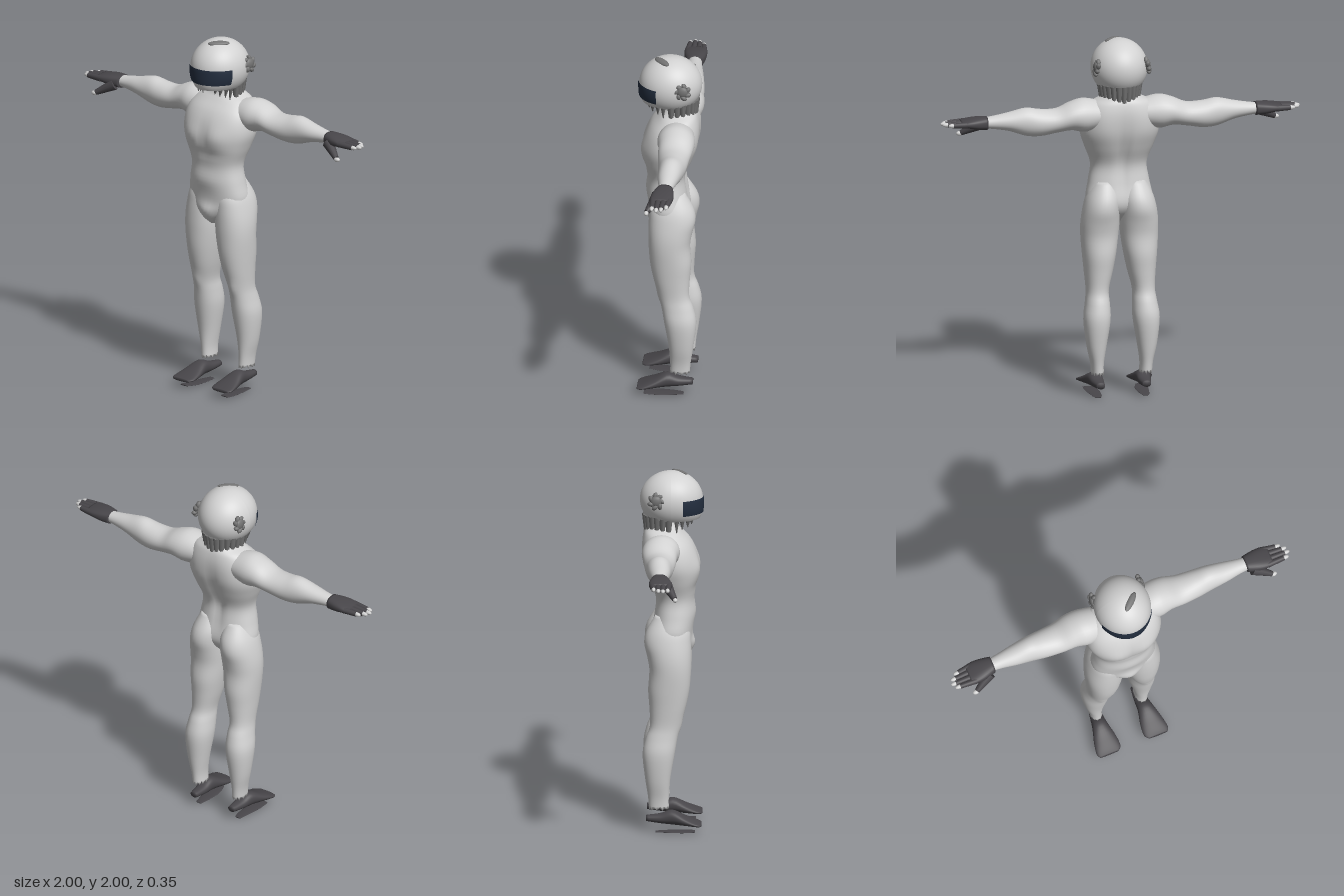
import * as THREE from 'three';

const mat = (name, color) => Object.assign(new THREE.MeshStandardMaterial({ color }), { name });

// Smooth interpolation through rows of numbers
function spline(rows, steps) {
  const out = [], last = rows.length - 1;
  for (let i = 0; i < last; i++) {
    const [p, q, r, s] = [i - 1, i, i + 1, i + 2].map(k => rows[Math.min(last, Math.max(0, k))]);
    for (let j = 0; j < steps; j++) {
      const t = j / steps;
      out.push(q.map((b, c) => b + 0.5 * t * (r[c] - p[c] + t * (2 * p[c] - 5 * b + 4 * r[c] - s[c] + t * (3 * (b - r[c]) + s[c] - p[c])))));
    }
  }
  out.push(rows[last]);
  return out;
}

// Closed tube of super-ellipse sections along an axis: [t, aMin, aMax, bMin, bMax]
function loft(axis, rows, { power = 2, steps = 4, sides = 32, rule } = {}) {
  const place = { x: (t, a, b) => [t, a, b], y: (t, a, b) => [a, t, b], z: (t, a, b) => [a, b, t] }[axis];
  const rings = spline(rows, steps), pos = [], index = [];
  const sp = v => Math.sign(v) * Math.abs(v) ** (2 / power);
  const tri = (a, b, c) => (axis === 'y' ? index.push(a, b, c) : index.push(a, c, b));
  rings.forEach(([t, a0, a1, b0, b1], i) => {
    for (let k = 0; k < sides; k++) {
      const th = (k / sides) * Math.PI * 2;
      const p = place(t, (a0 + a1) / 2 + ((a1 - a0) / 2) * sp(Math.cos(th)), (b0 + b1) / 2 + ((b1 - b0) / 2) * sp(Math.sin(th)));
      const v = new THREE.Vector3(...p);
      if (rule) rule(v, i, k);
      pos.push(v.x, v.y, v.z);
      if (i) {
        const a = (i - 1) * sides + k, b = (i - 1) * sides + (k + 1) % sides;
        tri(a, a + sides, b);
        tri(b, a + sides, b + sides);
      }
    }
  });
  // end caps
  const n = rings.length;
  [0, n - 1].forEach((r, e) => {
    const [t, a0, a1, b0, b1] = rings[r], c = n * sides + e;
    pos.push(...place(t, (a0 + a1) / 2, (b0 + b1) / 2));
    for (let k = 0; k < sides; k++) {
      const a = r * sides + k, b = r * sides + (k + 1) % sides;
      e ? tri(c, b, a) : tri(c, a, b);
    }
  });
  const g = new THREE.BufferGeometry();
  g.setAttribute('position', new THREE.Float32BufferAttribute(pos, 3));
  g.setIndex(index);
  g.computeVertexNormals();
  return g;
}

// Soft muscle forms: [x, y, z, rx, ry, rz, push in z]
const sculpt = bumps => v => {
  let dz = 0;
  for (const [x, y, z, rx, ry, rz, push] of bumps)
    dz += push * Math.exp(-(((v.x - x) / rx) ** 2) - ((v.y - y) / ry) ** 2 - ((v.z - z) / rz) ** 2);
  v.z += dz;
};

function mirrored(g) {
  const m = g.clone().scale(-1, 1, 1), ix = m.index;
  for (let i = 0; i < ix.count; i += 3) {
    const b = ix.getX(i + 1);
    ix.setX(i + 1, ix.getX(i + 2));
    ix.setX(i + 2, b);
  }
  return m;
}

// Tapered rod between two points
function rod(from, to, r0, r1, sides = 12) {
  const a = new THREE.Vector3(...from), d = new THREE.Vector3(...to).sub(a), len = d.length();
  const g = new THREE.CylinderGeometry(r1, r0, len, sides).translate(0, len / 2, 0);
  g.applyQuaternion(new THREE.Quaternion().setFromUnitVectors(new THREE.Vector3(0, 1, 0), d.normalize()));
  return g.translate(a.x, a.y, a.z);
}

export function createModel() {
  const body = mat('pale grey', 0xd2d2d2), glove = mat('charcoal', 0x48464a);
  const hair = mat('mid grey', 0x747474), dark = mat('navy glass', 0x242f40);
  const model = new THREE.Group();
  const add = (name, g, m) => {
    const mesh = new THREE.Mesh(g, m);
    mesh.name = name;
    model.add(mesh);
    return mesh;
  };
  const pair = (name, g, m) => {
    add('left ' + name, g, m);
    add('right ' + name, mirrored(g), m);
  };

  // Torso and neck
  const torso = [
    [0.955, 0.015, 0, 0.07], [0.99, 0.06, -0.04, 0.105], [1.04, 0.13, -0.09, 0.117], [1.1, 0.182, -0.11, 0.115],
    [1.2, 0.168, -0.095, 0.125], [1.3, 0.155, -0.088, 0.125], [1.4, 0.19, -0.125, 0.145], [1.48, 0.215, -0.15, 0.147],
    [1.55, 0.215, -0.16, 0.135], [1.61, 0.2, -0.16, 0.105], [1.66, 0.16, -0.15, 0.06], [1.69, 0.1, -0.135, 0.035],
    [1.72, 0.07, -0.12, 0.03], [1.78, 0.065, -0.11, 0.03],
  ].map(([y, w, b, f]) => [y, -w, w, b, f]);
  add('torso', loft('y', torso, {
    power: 2.3, sides: 48, steps: 5,
    rule: sculpt([
      [0.09, 1.47, 0.15, 0.07, 0.06, 0.08, 0.014], [-0.09, 1.47, 0.15, 0.07, 0.06, 0.08, 0.014],
      [0, 1.47, 0.15, 0.025, 0.09, 0.08, -0.008], [0, 1.37, 0.15, 0.14, 0.025, 0.08, -0.006],
      [0, 1.22, 0.13, 0.09, 0.05, 0.08, 0.008], [0, 1.04, 0.12, 0.04, 0.04, 0.06, 0.012],
      [0, 1.35, -0.12, 0.03, 0.2, 0.08, 0.022],
      [0.12, 1.52, -0.15, 0.06, 0.1, 0.08, -0.008], [-0.12, 1.52, -0.15, 0.06, 0.1, 0.08, -0.008],
    ]),
  }), body);

  // Legs with ragged lower ends
  const legSculpt = sculpt([[0.1, 1.06, -0.13, 0.07, 0.07, 0.06, -0.006], [0.13, 0.6, 0.05, 0.03, 0.04, 0.05, 0.008]]);
  pair('leg', loft('y', [
    [0.14, 0.1, 0.168, -0.12, -0.012], [0.2, 0.1, 0.174, -0.125, -0.012], [0.3, 0.085, 0.195, -0.14, -0.004],
    [0.44, 0.063, 0.21, -0.155, 0.02], [0.53, 0.064, 0.198, -0.138, 0.035], [0.6, 0.066, 0.19, -0.115, 0.05],
    [0.7, 0.042, 0.197, -0.118, 0.08], [0.8, 0.022, 0.206, -0.125, 0.1], [0.9, 0.008, 0.213, -0.118, 0.108],
    [0.98, 0.002, 0.212, -0.128, 0.11], [1.06, 0.002, 0.2, -0.141, 0.108], [1.13, 0.004, 0.18, -0.13, 0.1],
    [1.21, 0.03, 0.14, -0.085, 0.06],
  ], {
    power: 2.15,
    rule: (v, i, k) => {
      legSculpt(v);
      if (i === 0) v.y += 0.012 * Math.sin(k * 2.4);
    },
  }), body);

  // Arms
  pair('arm', loft('x', [
    [0.08, 1.53, 1.655, -0.13, 0.03], [0.2, 1.5, 1.685, -0.155, 0.05], [0.28, 1.515, 1.67, -0.155, 0.037],
    [0.36, 1.505, 1.636, -0.142, 0.03], [0.45, 1.49, 1.638, -0.135, 0.02], [0.53, 1.495, 1.65, -0.125, 0.01],
    [0.62, 1.525, 1.63, -0.11, 0.003], [0.7, 1.54, 1.615, -0.095, -0.01], [0.77, 1.548, 1.605, -0.085, -0.016],
  ]), body);

  // Fingerless gloves with bare fingertips
  pair('glove palm', loft('x', [
    [0.745, 1.54, 1.612, -0.095, -0.005], [0.8, 1.545, 1.61, -0.105, 0.012],
    [0.85, 1.555, 1.603, -0.107, 0.018], [0.89, 1.562, 1.594, -0.1, 0.014],
  ], { power: 2.6 }), glove);
  [[-0.088, 0.955], [-0.058, 0.982], [-0.028, 0.99], [0.002, 0.975]].forEach(([z, end]) => {
    const z2 = z * 0.85 - 0.004;
    pair('gloved finger', rod([0.86, 1.578, z], [end - 0.02, 1.576, z2], 0.018, 0.014), glove);
    pair('fingertip', new THREE.SphereGeometry(0.012, 12, 8).scale(2.3, 1, 1).translate(end - 0.018, 1.576, z2), body);
  });
  pair('gloved thumb', rod([0.775, 1.56, -0.012], [0.87, 1.505, 0.034], 0.032, 0.015), glove);
  pair('thumb tip', new THREE.SphereGeometry(0.013, 12, 8).scale(1.5, 1, 1).translate(0.878, 1.501, 0.037), body);

  // Shoes and the separate thin soles
  pair('shoe', loft('z', [
    [-0.135, 0.105, 0.15, 0.062, 0.095], [-0.06, 0.095, 0.165, 0.052, 0.105], [0.005, 0.09, 0.178, 0.046, 0.126],
    [0.08, 0.073, 0.2, 0.042, 0.093], [0.14, 0.07, 0.21, 0.04, 0.067], [0.165, 0.09, 0.198, 0.042, 0.058],
  ], { power: 2.2 }), glove);
  pair('sole', loft('z', [
    [-0.085, 0.115, 0.15, 0, 0.006], [-0.04, 0.105, 0.16, 0.001, 0.008],
    [0.06, 0.1, 0.175, 0.002, 0.01], [0.13, 0.12, 0.175, 0.006, 0.013],
  ]), glove);

  // Helmet shell and visor, with a fuller chin
  const shell = (scale, ...arc) => {
    const g = new THREE.SphereGeometry(1, 48, 32, ...arc), p = g.attributes.position;
    for (let i = 0; i < p.count; i++) {
      const y = p.getY(i), z = p.getZ(i);
      if (y < 0 && z > 0) p.setZ(i, z * (1 + 0.43 * y * y));
    }
    g.scale(0.155 * scale, 0.157 * scale, 0.172 * scale).translate(0, 1.84, 0);
    g.computeVertexNormals();
    return g;
  };
  add('helmet', shell(1, 0, Math.PI * 2, 0, 2.27), body);
  add('helmet underside', new THREE.CircleGeometry(1, 40).rotateX(Math.PI / 2).scale(0.116, 1, 0.13).translate(0, 1.742, 0.005), body);
  add('visor', shell(1.03, 0.38, Math.PI - 0.76, 1.444, 0.55), dark);

  // Hair locks hanging below the helmet, thick behind and thin at the front
  for (let i = 0; i < 13; i++) {
    const a = Math.PI + (i / 12) * Math.PI, c = Math.cos(a), s = Math.sin(a);
    const low = 1.668 + 0.008 * (i % 2);
    add('back hair lock', rod([0.107 * c, 1.76, 0.128 * s - 0.012], [0.1 * c, low, 0.122 * s - 0.015], 0.021, 0.013, 7), hair);
  }
  [[0.107, 0.03, 1.67], [0.1, 0.06, 1.69], [0.085, 0.09, 1.7], [0.065, 0.11, 1.715]].forEach(([x, z, low]) =>
    pair('front hair lock', rod([x, 1.755, z], [x * 0.9, low, z], 0.016, 0.002, 6), hair));

  // Curled hair clumps on the sides of the helmet
  pair('hair clump', new THREE.SphereGeometry(1, 12, 8).scale(0.016, 0.032, 0.032).translate(0.143, 1.86, -0.08), hair);
  for (let i = 0; i < 7; i++) {
    const a = (i / 7) * Math.PI * 2;
    const curl = new THREE.SphereGeometry(1, 8, 6).scale(0.014, 0.013, 0.02).rotateX(0.7 - a);
    pair('hair curl', curl.translate(0.14 - 0.008 * Math.sin(a), 1.86 + 0.032 * Math.sin(a), -0.08 + 0.032 * Math.cos(a)), hair);
  }

  // Tuft lying on the crown
  const tuft = add('crown tuft', new THREE.SphereGeometry(1, 20, 10).scale(0.06, 0.011, 0.02).rotateY(0.756), hair);
  tuft.position.set(0.03, 1.984, 0.045);
  tuft.quaternion.setFromUnitVectors(new THREE.Vector3(0, 1, 0), new THREE.Vector3(0.2, 1, 0.25).normalize());
  return model;
}
